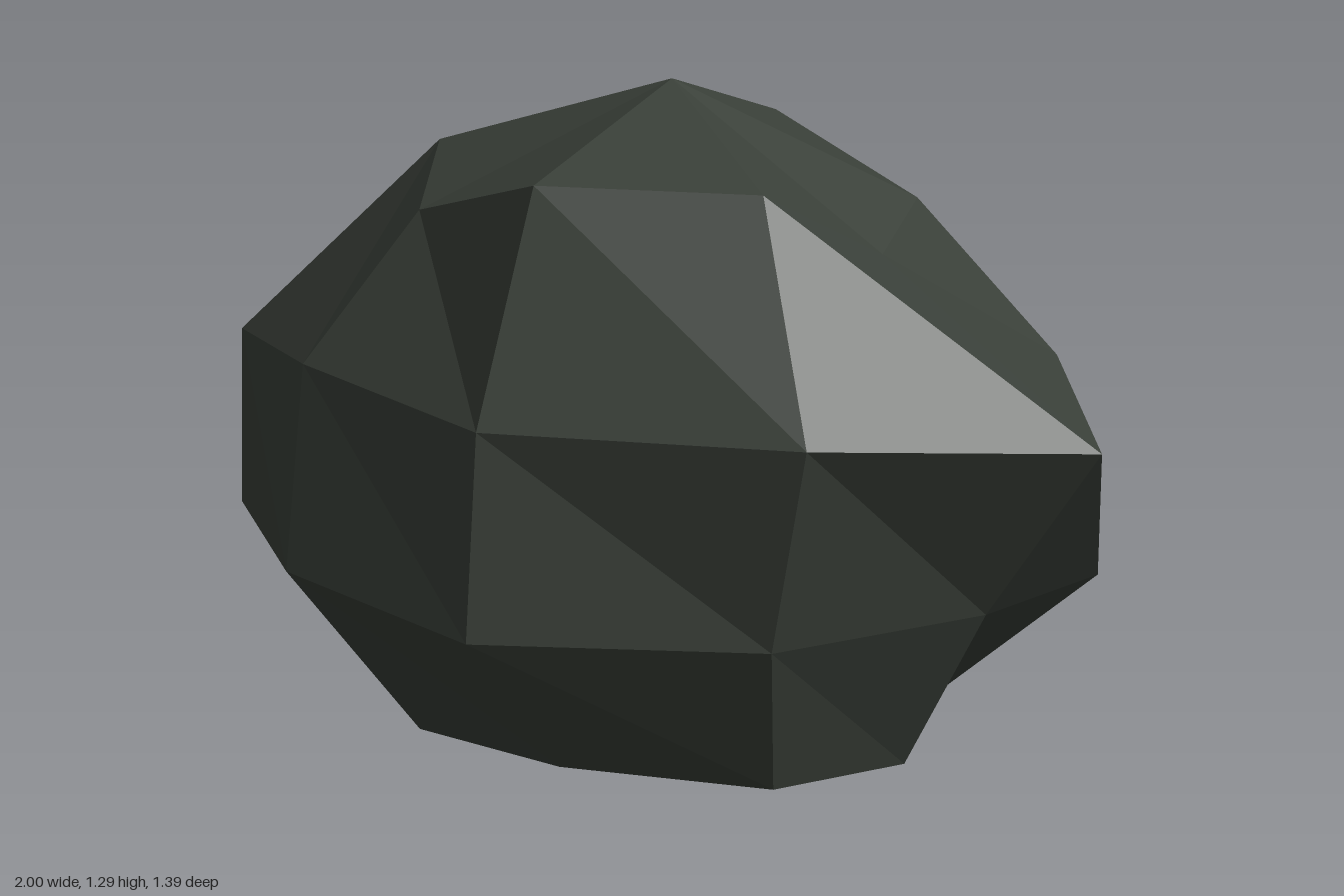
import * as THREE from 'three';

// Rings from the ground up; each runs left, front-left, front, ... around the axis as [x, y, z]
const RINGS = [
  [[-0.46, 0, -0.02], [-0.385, 0, 0.28], [0, 0, 0.37], [0.44, 0, 0.285],
    [0.54, 0, -0.02], [0.35, 0, -0.28], [0, 0, -0.39], [-0.42, 0, -0.32]],
  [[-1, 0.3, -0.02], [-0.545, 0.34, 0.505], [0, 0.315, 0.695], [0.52, 0.31, 0.41],
    [0.73, 0.325, -0.02], [0.685, 0.3, -0.475], [0, 0.3, -0.695], [-0.705, 0.31, -0.555]],
  [[-1, 0.645, -0.02], [-0.57, 0.73, 0.41], [0, 0.73, 0.66], [0.635, 0.74, 0.46],
    [1, 0.685, -0.02], [0.6, 0.73, -0.46], [0, 0.71, -0.695], [-0.55, 0.81, -0.46]],
  [[-0.54, 1.09, -0.02], [-0.4, 1.03, 0.26], [0, 1.18, 0.46], [0.41, 1.18, 0.275],
    [0.49, 1.01, -0.02], [0.39, 1.05, -0.29], [0, 1.15, -0.38], [-0.42, 1.11, -0.28]],
];
const APEX = [0, 1.29, -0.02];
const BASE = [0, 0, -0.02];

// Joins the rings with facets and closes both ends; unshared corners keep every facet flat
function facetedStone() {
  const positions = [];
  const tri = (...corners) => corners.forEach((p) => positions.push(...p));
  const sides = RINGS[0].length;
  const last = RINGS.length - 1;
  for (let i = 0; i < sides; i++) {
    const j = (i + 1) % sides;
    tri(BASE, RINGS[0][j], RINGS[0][i]);
    for (let r = 0; r < last; r++) {
      const low = RINGS[r], high = RINGS[r + 1];
      tri(high[i], low[i], low[j]);
      tri(high[i], low[j], high[j]);
    }
    tri(APEX, RINGS[last][i], RINGS[last][j]);
  }
  const geometry = new THREE.BufferGeometry();
  geometry.setAttribute('position', new THREE.Float32BufferAttribute(positions, 3));
  geometry.computeVertexNormals();
  return geometry;
}

export function createModel() {
  const stone = new THREE.MeshStandardMaterial({ color: 0x3a4039 });
  stone.name = 'darkStone';

  const rock = new THREE.Mesh(facetedStone(), stone);
  rock.name = 'rock';

  const group = new THREE.Group();
  group.name = 'boulder';
  group.add(rock);
  return group;
}
